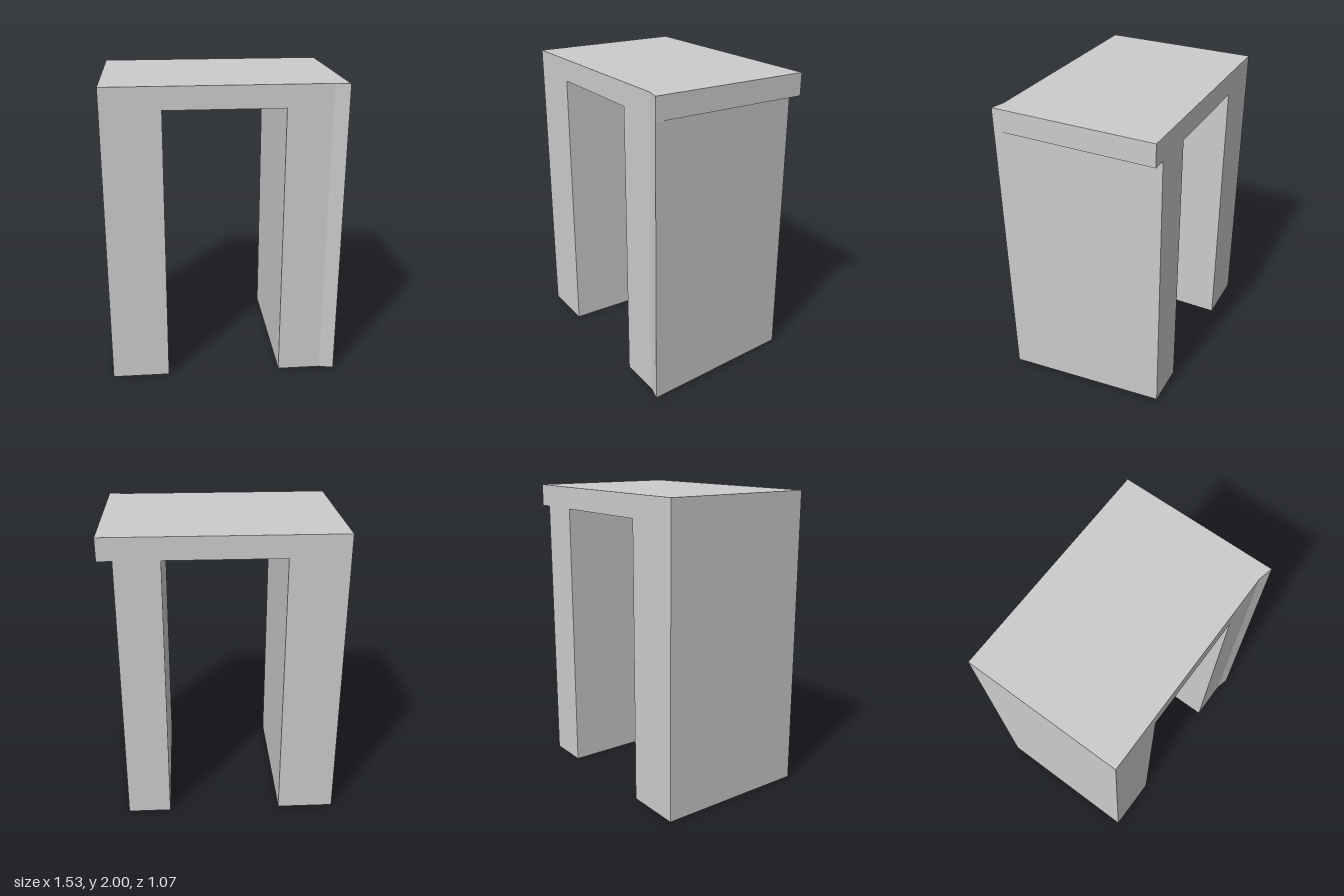
import * as THREE from 'three';

const UNDER = 1.853, TOP = 2;

// Upright prism from a plan outline of [x, z] points
function prism(name, outline, y0, y1, material) {
  const shape = new THREE.Shape(outline.map(([x, z]) => new THREE.Vector2(x, -z)));
  const geo = new THREE.ExtrudeGeometry(shape, { depth: y1 - y0, bevelEnabled: false });
  geo.rotateX(-Math.PI / 2);
  geo.translate(0, y0, 0);
  const mesh = new THREE.Mesh(geo, material);
  mesh.name = name;
  return mesh;
}

export function createModel() {
  const group = new THREE.Group();
  group.name = 'table';
  const material = new THREE.MeshStandardMaterial({ color: 0xcccccc, flatShading: true });

  const x = 0.765, back = -0.535, front = 0.512, flare = 0.535;

  // Top slab, with one front corner drawn slightly forward
  group.add(prism('tableTop', [
    [-x, front], [0.67, front], [x, flare], [x, back], [-x, back],
  ], UNDER, TOP, material));

  // Plain straight leg
  group.add(prism('rightLeg', [
    [-x, front], [-0.385, front], [-0.385, back], [-x, back],
  ], 0, UNDER, material));

  // Leg whose outer face slants inward towards the back
  group.add(prism('leftLeg', [
    [0.381, front], [0.67, front], [x, flare], [0.67, back], [0.381, back],
  ], 0, UNDER, material));

  return group;
}
